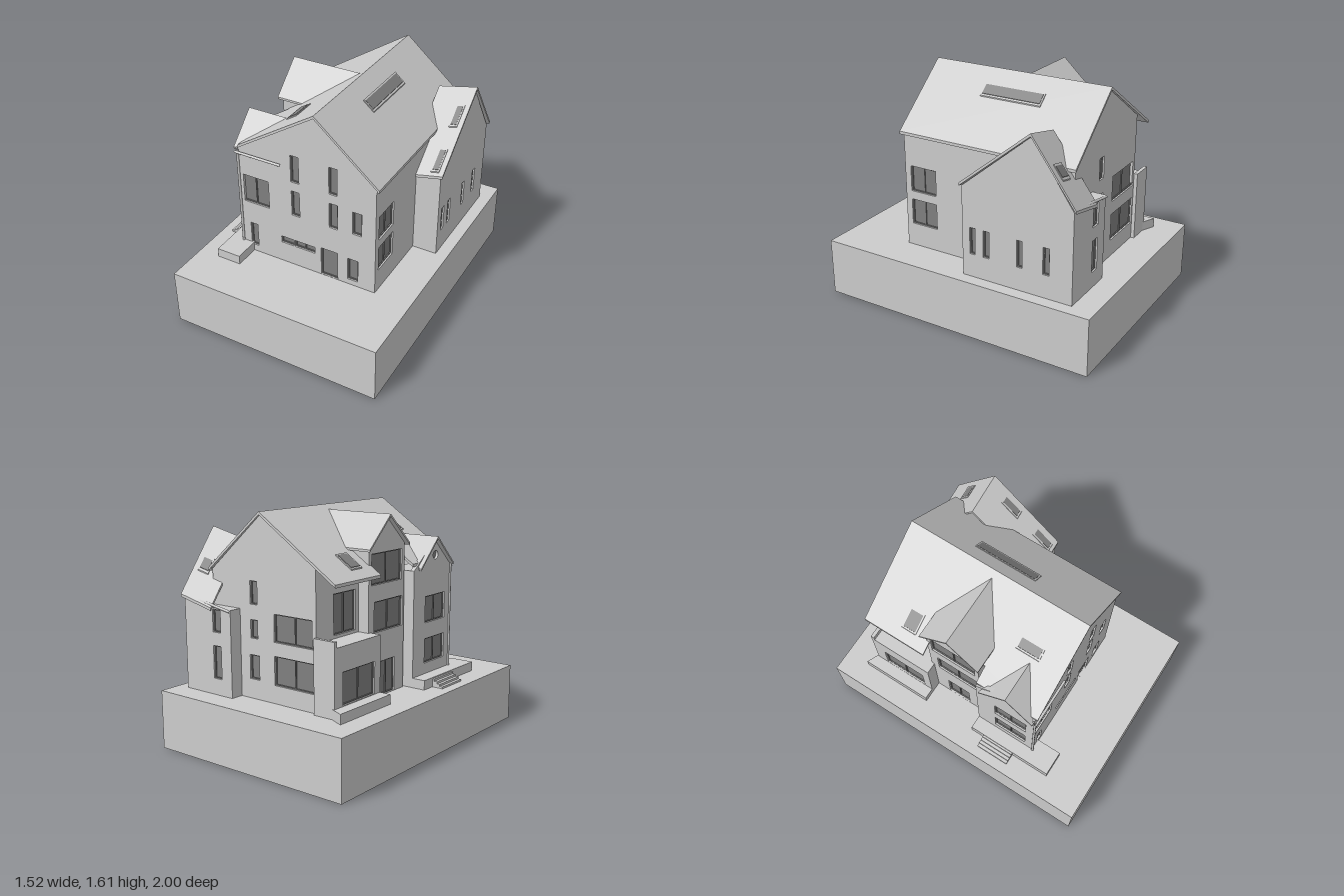
import * as THREE from 'three';

export function createModel() {
  const house = new THREE.Group();
  house.name = 'house';
  const plaster = new THREE.MeshStandardMaterial({ color: 0xcccccc });
  plaster.name = 'light grey';
  const dark = new THREE.MeshStandardMaterial({ color: 0x808080 });
  dark.name = 'window grey';

  const add = (name, geo, mat = plaster, parent = house) => {
    const m = new THREE.Mesh(geo, mat);
    m.name = name;
    parent.add(m);
    return m;
  };
  // box from its lower and upper corners
  const box = (name, x0, x1, y0, y1, z0, z1, mat = plaster, parent = house) => {
    const m = add(name, new THREE.BoxGeometry(x1 - x0, y1 - y0, z1 - z0), mat, parent);
    m.position.set((x0 + x1) / 2, (y0 + y1) / 2, (z0 + z1) / 2);
    return m;
  };
  // slab drawn in plan (x, z), its top lifted to the height f(x, z)
  const slab = (name, plan, f, t = 0.02, mat = plaster) => {
    const shape = new THREE.Shape(plan.map(([x, z]) => new THREE.Vector2(x, z)));
    const geo = new THREE.ExtrudeGeometry(shape, { depth: t, bevelEnabled: false });
    geo.rotateX(Math.PI / 2);
    const p = geo.attributes.position;
    for (let i = 0; i < p.count; i++) p.setY(i, p.getY(i) + f(p.getX(i), p.getZ(i)));
    geo.computeVertexNormals();
    return add(name, geo, mat);
  };
  const rect = (x0, x1, z0, z1) => [[x0, z0], [x1, z0], [x1, z1], [x0, z1]];

  // wall panel with recessed windows; u is the world x or z along the wall
  const sides = { front: [0, 1], back: [Math.PI, -1], right: [Math.PI / 2, -1], left: [-Math.PI / 2, 1] };
  const T = 0.03;
  const wall = (name, side, at, outline, windows = []) => {
    const [angle, s] = sides[side];
    const g = new THREE.Group();
    g.name = name;
    const shape = new THREE.Shape(outline.map(([u, v]) => new THREE.Vector2(u * s, v)));
    for (const w of windows) {
      if (w.length === 3) {
        const [u, v, r] = w;
        shape.holes.push(new THREE.Path().absarc(u * s, v, r, 0, Math.PI * 2));
        const pane = add('roundWindow', new THREE.CircleGeometry(r * 1.1, 24), dark, g);
        pane.position.set(u * s, v, -0.018);
        continue;
      }
      const [a, b, v0, v1] = w;
      const u0 = Math.min(a * s, b * s), u1 = Math.max(a * s, b * s);
      shape.holes.push(new THREE.Path([[u0, v0], [u1, v0], [u1, v1], [u0, v1]].map(q => new THREE.Vector2(...q))));
      box('windowPane', u0, u1, v0, v1, -0.027, -0.018, dark, g);
      const e = 0.007;
      for (const [x0, x1] of [[u0, u0 + e], [u1 - e, u1]]) box('windowFrame', x0, x1, v0, v1, -0.02, -0.011, dark, g);
      for (const [y0, y1] of [[v0, v0 + e], [v1 - e, v1]]) box('windowFrame', u0, u1, y0, y1, -0.02, -0.011, dark, g);
      if (u1 - u0 > 0.15) {
        const m = (u0 + u1) / 2;
        box('mullion', m - 0.004, m + 0.004, v0, v1, -0.02, -0.011, dark, g);
      }
    }
    const geo = new THREE.ExtrudeGeometry(shape, { depth: T, bevelEnabled: false, curveSegments: 16 });
    geo.translate(0, 0, -T);
    add('wallPanel', geo, plaster, g);
    g.rotation.y = angle;
    if (side === 'front' || side === 'back') g.position.z = at;
    else g.position.x = at;
    house.add(g);
  };
  const quad = (u0, u1, v0, v1) => [[u0, v0], [u1, v0], [u1, v1], [u0, v1]];

  // ground block
  box('base', -0.76, 0.76, 0, 0.4, -1, 1);

  // main walls
  wall('frontWall', 'front', 0.52,
    [[-0.515, 0.38], [0.5, 0.38], [0.5, 1.215], [0.07, 1.59], [-0.515, 1.21]], [
      [-0.115, -0.055, 1.07, 1.27], [0.165, 0.225, 1.07, 1.27],
      [-0.115, -0.055, 0.81, 1.0], [0.165, 0.225, 0.81, 1.0], [0.335, 0.4, 0.82, 0.99],
      [-0.205, -0.11, 0.555, 0.605], [-0.1, 0.055, 0.555, 0.605],
      [0.1, 0.225, 0.402, 0.62], [0.3, 0.375, 0.44, 0.61],
      [-0.45, -0.395, 0.45, 0.63], [-0.495, -0.29, 0.8, 1.01]]);
  wall('backWall', 'back', -0.75,
    [[-0.53, 0.38], [0.5, 0.38], [0.5, 1.215], [0.07, 1.59], [-0.37, 1.3], [-0.37, 0.84], [-0.53, 0.84]], [
      [-0.36, -0.03, 0.52, 0.71], [-0.36, -0.03, 0.8, 0.98],
      [0.1, 0.18, 0.53, 0.69], [0.11, 0.17, 0.8, 0.92], [0.11, 0.17, 1.02, 1.17]]);
  wall('rightWall', 'right', 0.5, quad(-0.75, 0.52, 0.38, 1.215),
    [[0.275, 0.475, 0.56, 0.74], [0.275, 0.475, 0.8, 0.98]]);

  // left side: lower bay with balcony, dormer bay, front bay
  wall('balconyBayWall', 'left', -0.53, quad(-0.75, -0.31, 0.38, 0.84), [[-0.69, -0.37, 0.47, 0.68]]);
  box('balconyBay', -0.502, -0.3, 0.39, 0.84, -0.722, -0.31);
  box('cornerSlab', -0.53, -0.37, 0.39, 0.88, -0.775, -0.75);
  wall('balconyWall', 'left', -0.37, quad(-0.75, -0.31, 0.82, 1.3), [[-0.58, -0.36, 0.86, 1.12]]);
  wall('dormerBayWall', 'left', -0.45,
    [[-0.33, 0.38], [0.06, 0.38], [0.06, 1.375], [-0.14, 1.56], [-0.33, 1.375]], [
      [-0.3, 0.03, 1.14, 1.34], [-0.27, 0.04, 0.83, 1.03], [-0.21, -0.04, 0.402, 0.63]]);
  box('dormerBay', -0.422, -0.15, 0.39, 1.37, -0.33, 0.06);
  wall('frontBayWall', 'left', -0.515,
    [[0.08, 0.38], [0.52, 0.38], [0.52, 1.19], [0.32, 1.375], [0.08, 1.19]], [
      [0.22, 0.46, 0.54, 0.71], [0.22, 0.46, 0.82, 1.0], [0.335, 1.27, 0.03]]);
  box('frontBay', -0.487, -0.3, 0.39, 1.19, 0.08, 0.49);

  // main roof
  const fl = x => 1.61 + 0.65 * (x - 0.07);
  const fr = x => 1.61 - 0.857 * (x - 0.07);
  slab('leftRoof', [[0.07, -0.765], [0.07, 0.535], [-0.505, 0.535], [-0.505, 0.08], [-0.4, 0.08], [-0.4, -0.31],
    [-0.53, -0.31], [-0.53, -0.765]], fl);
  slab('rightRoof', rect(0.07, 0.525, -0.765, 0.535), fr);

  // dormer roofs
  const fd = (x, z) => 1.58 - 0.927 * Math.abs(z + 0.14);
  const fs = (x, z) => 1.397 - 0.97 * Math.abs(z - 0.32);
  for (const s of [-1, 1]) {
    slab('dormerRoof', [[-0.48, -0.14], [0.03, -0.14], [-0.29, -0.14 + s * 0.22], [-0.48, -0.14 + s * 0.22]], fd, 0.015);
    slab('smallDormerRoof', [[-0.545, 0.32], [-0.26, 0.32], [-0.53, 0.32 + s * 0.2], [-0.545, 0.32 + s * 0.2]], fs, 0.015);
  }

  // side wing
  wall('wingGable', 'right', 0.675,
    [[-0.84, 0.38], [-0.05, 0.38], [-0.05, 1.02], [-0.55, 1.435], [-0.84, 1.02]],
    [[-0.145, -0.105], [-0.25, -0.205], [-0.49, -0.45], [-0.68, -0.635]].map(([a, b]) => [a, b, 0.56, 0.745]));
  wall('wingFrontWall', 'front', -0.05, [[0.48, 0.38], [0.675, 0.38], [0.675, 1.02], [0.48, 0.98]]);
  wall('wingBackWall', 'back', -0.84, [[0.26, 0.38], [0.675, 0.38], [0.675, 1.02], [0.42, 0.98], [0.26, 0.98]],
    [[0.35, 0.42, 0.51, 0.73], [0.35, 0.42, 0.82, 0.97]]);
  box('wingBackCore', 0.26, 0.64, 0.39, 0.98, -0.812, -0.74);
  const fw = (x, z) => 1.46 - 0.22 * (0.69 - x) - (z > -0.55 ? 0.82 : 1.35) * Math.abs(z + 0.55);
  slab('wingFrontRoof', rect(0.415, 0.69, -0.55, -0.04), fw);
  slab('wingBackRoof', rect(0.415, 0.69, -0.86, -0.55), fw);

  // skylights: light frame, dark pane
  const skylight = (x0, x1, z0, z1, f) => {
    const e = 0.01;
    slab('skylightFrame', rect(x0, x1, z0, z1), (x, z) => f(x, z) + 0.008, 0.02);
    slab('skylightPane', rect(x0 + e, x1 - e, z0 + e, z1 - e), (x, z) => f(x, z) + 0.011, 0.008, dark);
  };
  skylight(0.172, 0.247, -0.36, 0.085, fr);
  skylight(-0.458, -0.335, -0.518, -0.41, fl);
  skylight(-0.23, -0.155, 0.195, 0.365, fl);
  for (const [z0, z1] of [[-0.44, -0.315], [-0.19, -0.06], [-0.745, -0.68]])
    skylight(z0 < -0.6 ? 0.55 : 0.595, z0 < -0.6 ? 0.645 : 0.655, z0, z1, fw);

  // gutters and downpipes
  const pipe = (name, a, b, r = 0.009) => {
    const path = new THREE.LineCurve3(new THREE.Vector3(...a), new THREE.Vector3(...b));
    add(name, new THREE.TubeGeometry(path, 1, r, 10)).material = plaster;
  };
  pipe('frontGutter', [-0.53, 1.18, 0.535], [-0.18, 1.18, 0.535]);
  pipe('frontDownpipe', [-0.515, 0.4, 0.525], [-0.515, 1.2, 0.525]);
  pipe('wingGutter', [0.26, 0.97, -0.843], [0.62, 1.03, -0.843]);
  box('rightGutter', 0.505, 0.525, 1.2, 1.22, -0.76, 0.53);

  // terraces and entrance steps
  slab('backTerrace', [[-0.61, -0.82], [-0.5, -0.77], [-0.5, -0.31], [-0.61, -0.31]], () => 0.465, 0.08);
  box('entrancePlatform', -0.61, -0.435, 0.39, 0.465, 0.08, 0.7);
  for (let i = 0; i < 4; i++)
    box('entranceStep', -0.69 + i * 0.022, -0.6, 0.39, 0.413 + i * 0.014, 0.18, 0.42);

  return house;
}
